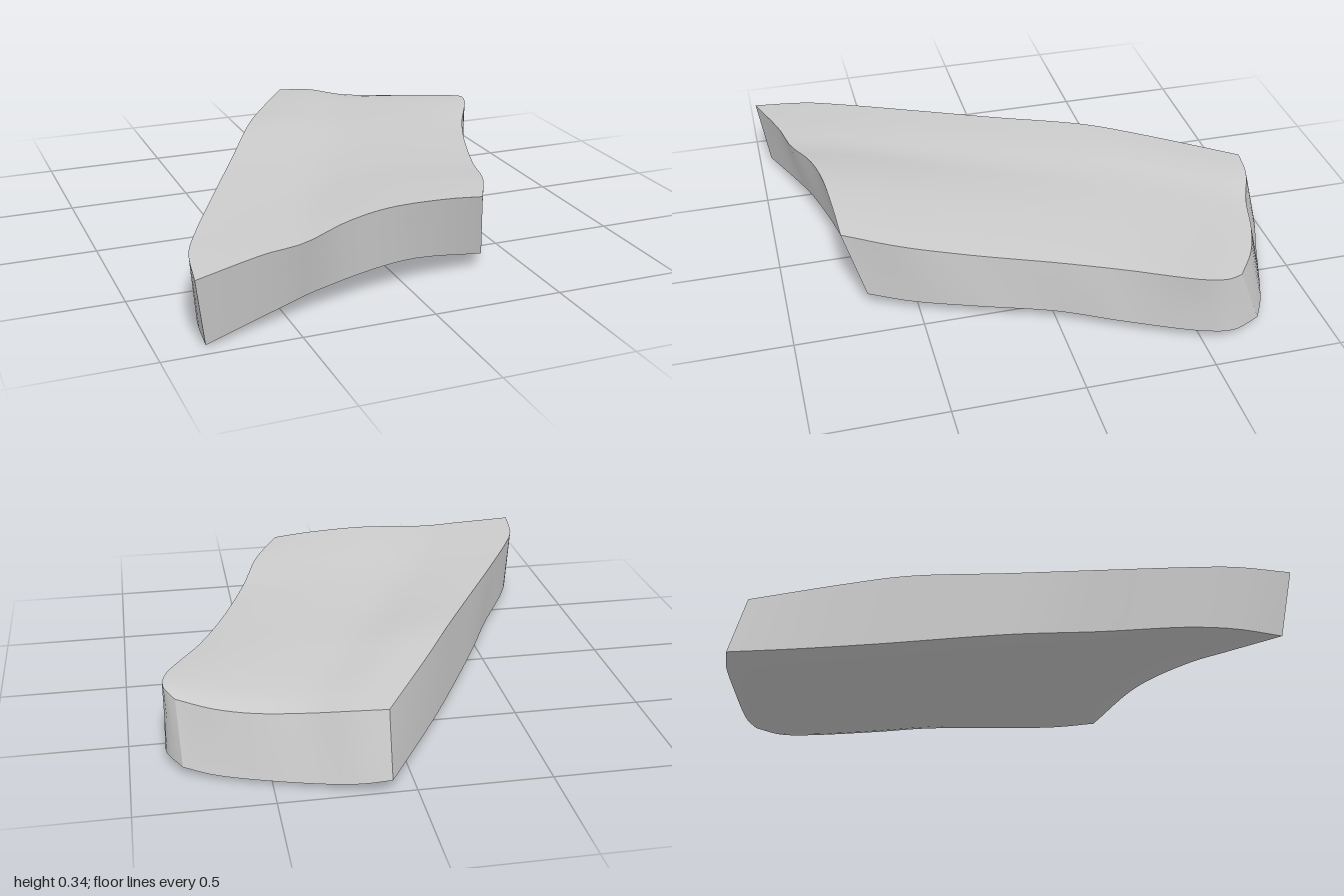
import * as THREE from 'three';

const material = new THREE.MeshStandardMaterial({ color: 0xcccccc });
const edge = (...pts) =>
  new THREE.CatmullRomCurve3(pts.map((p) => new THREE.Vector3(...p)), false, 'centripetal');

// Upper and lower rims; left/right run back to front, back/front run left to right
const top = {
  left: edge([0.09, 0.305, -0.93], [-0.13, 0.33, -0.57], [-0.25, 0.34, -0.36], [-0.44, 0.32, 0],
    [-0.6, 0.305, 0.3], [-0.77, 0.29, 0.63], [-0.83, 0.285, 0.77], [-0.87, 0.28, 0.99]),
  right: edge([0.82, 0.27, -0.65], [0.86, 0.29, -0.58], [0.85, 0.295, -0.5], [0.7, 0.285, -0.22],
    [0.6, 0.285, 0], [0.48, 0.295, 0.32], [0.4, 0.32, 0.56], [0.29, 0.335, 0.77]),
  back: edge([0.09, 0.305, -0.93], [0.22, 0.3, -0.91], [0.37, 0.275, -0.85],
    [0.55, 0.265, -0.8], [0.69, 0.265, -0.74], [0.82, 0.27, -0.65]),
  front: edge([-0.87, 0.28, 0.99], [-0.6, 0.3, 0.91], [-0.45, 0.305, 0.88], [-0.27, 0.335, 0.82],
    [-0.1, 0.352, 0.79], [0.14, 0.348, 0.775], [0.29, 0.335, 0.77]),
};
const bottom = {
  left: edge([0.09, 0.06, -1], [-0.05, 0.05, -0.75], [-0.2, 0.045, -0.48], [-0.45, 0.05, 0],
    [-0.59, 0.045, 0.3], [-0.75, 0.04, 0.61], [-0.81, 0.03, 0.77], [-0.83, 0.02, 0.95]),
  right: edge([0.81, 0.04, -0.74], [0.865, 0.045, -0.62], [0.85, 0.05, -0.51], [0.72, 0.055, -0.22],
    [0.61, 0.06, 0], [0.5, 0.06, 0.3], [0.41, 0.06, 0.53], [0.335, 0.07, 0.69]),
  back: edge([0.09, 0.06, -1], [0.2, 0.045, -0.98], [0.37, 0.03, -0.92],
    [0.7, 0.03, -0.8], [0.81, 0.04, -0.74]),
  front: edge([-0.83, 0.02, 0.95], [-0.55, 0.06, 0.86], [-0.36, 0.09, 0.81],
    [0, 0.115, 0.74], [0.335, 0.07, 0.69]),
};

// Smooth grid of points from a function of s and t
function patch(name, ns, nt, point, flip = false) {
  const positions = [];
  const index = [];
  for (let j = 0; j <= nt; j++) {
    for (let i = 0; i <= ns; i++) positions.push(...point(i / ns, j / nt).toArray());
  }
  for (let j = 0; j < nt; j++) {
    for (let i = 0; i < ns; i++) {
      const a = j * (ns + 1) + i;
      const b = a + 1;
      const c = a + ns + 1;
      const d = c + 1;
      if (flip) index.push(a, b, c, b, d, c);
      else index.push(a, c, b, b, c, d);
    }
  }
  const geometry = new THREE.BufferGeometry();
  geometry.setAttribute('position', new THREE.Float32BufferAttribute(positions, 3));
  geometry.setIndex(index);
  geometry.computeVertexNormals();
  const mesh = new THREE.Mesh(geometry, material);
  mesh.name = name;
  return mesh;
}

// Surface blended between four rims, with a gentle swell in the middle
function blend(rim, swell) {
  const corner = [rim.back.getPoint(0), rim.back.getPoint(1), rim.front.getPoint(0), rim.front.getPoint(1)];
  return (s, t) => {
    const p = rim.left.getPointAt(t).multiplyScalar(1 - s)
      .addScaledVector(rim.right.getPointAt(t), s)
      .addScaledVector(rim.back.getPointAt(s), 1 - t)
      .addScaledVector(rim.front.getPointAt(s), t)
      .addScaledVector(corner[0], -(1 - s) * (1 - t))
      .addScaledVector(corner[1], -s * (1 - t))
      .addScaledVector(corner[2], -(1 - s) * t)
      .addScaledVector(corner[3], -s * t);
    p.y += swell * Math.sqrt(Math.sin(Math.PI * s) * Math.sin(Math.PI * t) + 1e-9);
    return p;
  };
}

export function createModel() {
  const slab = new THREE.Group();
  slab.name = 'stoneSlab';

  // Broad faces
  slab.add(patch('topFace', 20, 40, blend(top, 0.004)));
  slab.add(patch('undersideFace', 20, 40, blend(bottom, -0.038), true));

  // Broken side walls between the two rims
  for (const side of ['left', 'front', 'right', 'back']) {
    const flip = side === 'right' || side === 'back';
    const segments = side === 'left' || side === 'right' ? 40 : 20;
    slab.add(patch(side + 'Wall', segments, 4, (s, t) =>
      top[side].getPointAt(s).lerp(bottom[side].getPointAt(s), t), flip));
  }
  return slab;
}
